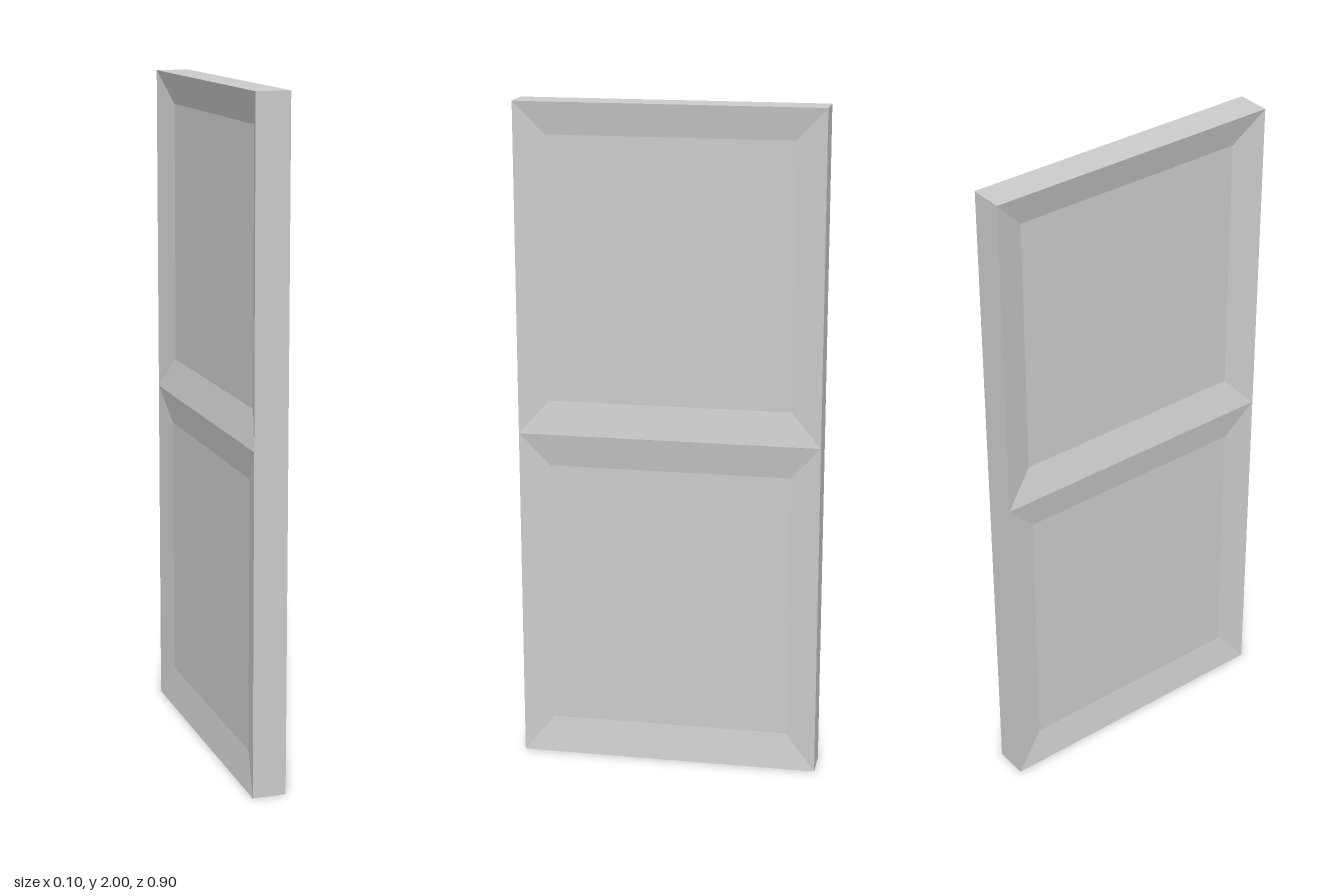
import * as THREE from 'three';

const HALF_X = 0.05, HALF_Z = 0.45, HEIGHT = 2, RAIL = 1.02, INSET_Z = 0.36;

// Flat-shaded mesh from a list of four-cornered faces
function quadMesh(name, quads, material) {
  const positions = [];
  for (const [a, b, c, d] of quads) positions.push(...a, ...b, ...c, ...a, ...c, ...d);
  const geometry = new THREE.BufferGeometry();
  geometry.setAttribute('position', new THREE.Float32BufferAttribute(positions, 3));
  geometry.computeVertexNormals();
  const mesh = new THREE.Mesh(geometry, material);
  mesh.name = name;
  return mesh;
}

// Recessed panel: four sloping borders around a sunken flat field
function recessedPanel(name, side, { outer, inner, depth }, material) {
  const ring = (x, z, [y0, y1]) =>
    [[x, y0, z], [x, y0, -z], [x, y1, -z], [x, y1, z]];
  const rim = ring(side * HALF_X, HALF_Z, outer);
  const field = ring(side * (HALF_X - depth), INSET_Z, inner);
  const quads = [field];
  for (let i = 0; i < 4; i++) {
    const j = (i + 1) % 4;
    quads.push([rim[i], rim[j], field[j], field[i]]);
  }
  if (side < 0) quads.forEach((q) => q.reverse());
  return quadMesh(name, quads, material);
}

export function createModel() {
  const model = new THREE.Group();
  model.name = 'panelledDoor';
  const material = new THREE.MeshStandardMaterial({ color: 0xcccccc, flatShading: true });

  // Narrow edges running around the slab
  const section = [[-HALF_Z, 0], [HALF_Z, 0], [HALF_Z, HEIGHT], [-HALF_Z, HEIGHT]];
  const edges = section.map(([z0, y0], i) => {
    const [z1, y1] = section[(i + 1) % 4];
    return [[-HALF_X, y0, z0], [HALF_X, y0, z0], [HALF_X, y1, z1], [-HALF_X, y1, z1]];
  });
  model.add(quadMesh('doorEdges', edges, material));

  // Upper and lower panels on both broad faces, meeting at a ridge
  for (const side of [1, -1]) {
    const label = side > 0 ? 'left' : 'right';
    model.add(recessedPanel(`${label}UpperPanel`, side,
      { outer: [RAIL, HEIGHT], inner: [1.12, 1.905], depth: side > 0 ? 0.018 : 0.028 }, material));
    model.add(recessedPanel(`${label}LowerPanel`, side,
      { outer: [0, RAIL], inner: [0.11, 0.92], depth: 0.018 }, material));
  }
  return model;
}
